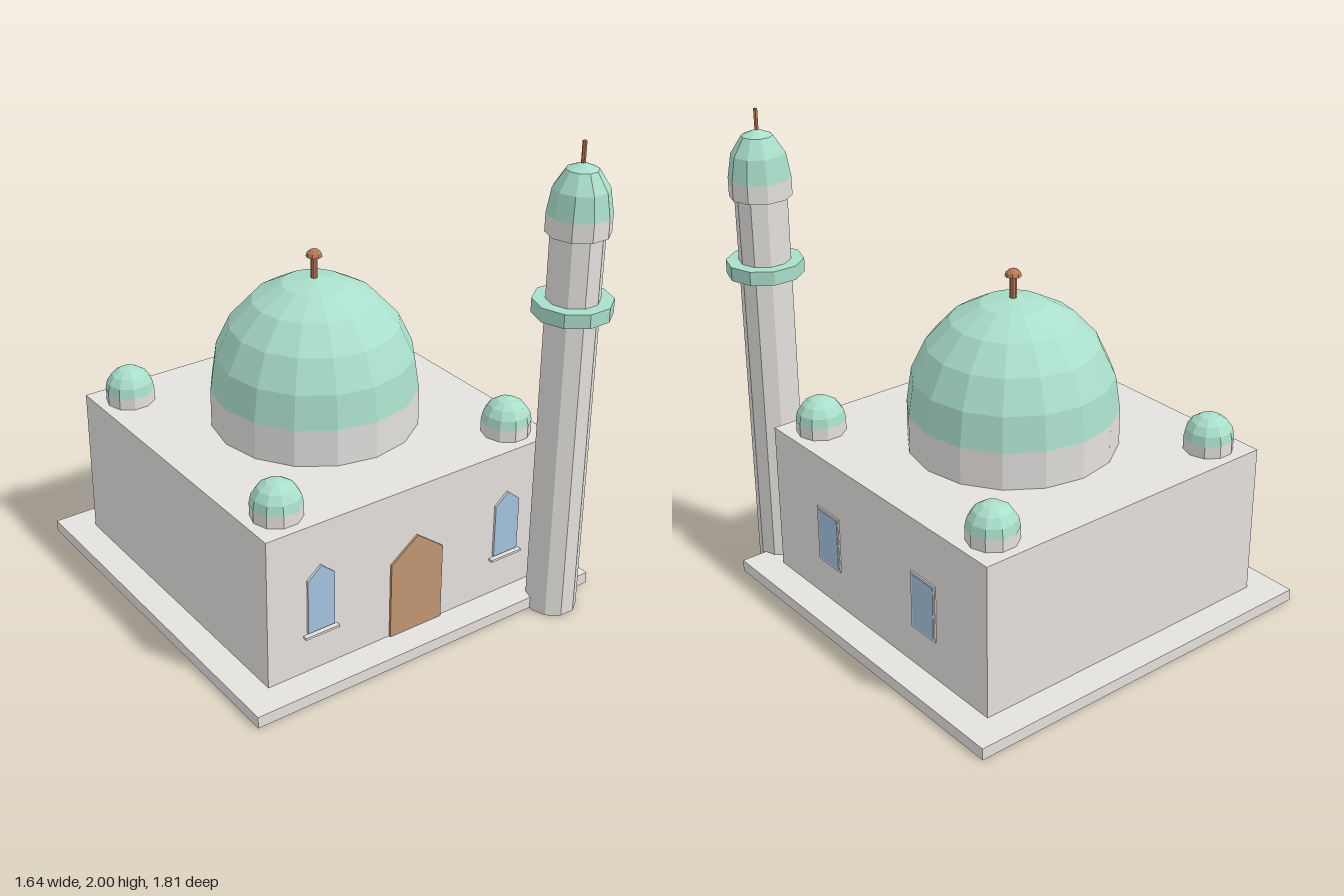
import * as THREE from 'three';

const flat = (name, color) => new THREE.MeshStandardMaterial({ name, color, flatShading: true, side: THREE.DoubleSide });

export function createModel() {
  const model = new THREE.Group();
  model.name = 'domedBuilding';

  const stone = flat('stone', 0xe4e1de);
  const green = flat('paleGreen', 0xaadecb);
  const wood = flat('wood', 0xc29672);
  const glass = flat('blueGlass', 0xa3c3de);
  const copper = flat('copper', 0xb87b57);

  const add = (parent, name, geometry, material, x, y, z) => {
    const mesh = new THREE.Mesh(geometry, material);
    mesh.name = name;
    mesh.position.set(x, y, z);
    parent.add(mesh);
    return mesh;
  };
  const group = (name, x, z) => {
    const g = new THREE.Group();
    g.name = name;
    g.position.set(x, 0, z);
    model.add(g);
    return g;
  };
  // Square shell: four walls and a flat top, open underneath
  const shell = (name, width, y0, y1, z) => {
    const g = group(name, 0, z);
    const r = width / Math.SQRT2;
    add(g, name + 'Walls', new THREE.CylinderGeometry(r, r, y1 - y0, 4, 1, true).rotateY(Math.PI / 4),
      stone, 0, (y0 + y1) / 2, 0);
    add(g, name + 'Top', new THREE.PlaneGeometry(width, width).rotateX(-Math.PI / 2), stone, 0, y1, 0);
  };
  // Faceted drum with a corner on the x axis
  const drum = (parent, name, material, r, sides, y0, y1) =>
    add(parent, name, new THREE.CylinderGeometry(r, r, y1 - y0, sides).rotateY(Math.PI / 2),
      material, 0, (y0 + y1) / 2, 0);
  // Faceted half dome, closed underneath
  const dome = (parent, name, material, r, height, sides, rings, y) => {
    const profile = [new THREE.Vector2(0, 0)];
    for (let i = 0; i <= rings; i++) {
      const a = (i / rings) * Math.PI / 2;
      profile.push(new THREE.Vector2(i === rings ? 0 : r * Math.cos(a), height * Math.sin(a)));
    }
    return add(parent, name, new THREE.LatheGeometry(profile, sides, Math.PI / 2), material, 0, y, 0);
  };
  // Upright plate facing +z, pointed when peak is above the shoulder
  const plate = (w, y0, shoulder, peak, depth) => {
    const s = new THREE.Shape();
    s.moveTo(-w / 2, y0);
    s.lineTo(w / 2, y0);
    s.lineTo(w / 2, shoulder);
    if (peak > shoulder) s.lineTo(0, peak);
    s.lineTo(-w / 2, shoulder);
    s.closePath();
    return new THREE.ExtrudeGeometry(s, { depth, bevelEnabled: false });
  };

  const cz = -0.081; // centre of the hall
  const half = 0.696; // half its width
  const front = cz + half;

  // Hollow plinth and hall
  shell('plinth', 1.643, 0, 0.05, -0.0835);
  shell('hall', half * 2, 0.05, 0.698, cz);

  // Main dome with its finial
  const main = group('mainDome', 0, cz);
  drum(main, 'mainDrum', stone, 0.431, 16, 0.698, 0.855);
  dome(main, 'mainCupola', green, 0.431, 0.465, 16, 5, 0.855);
  drum(main, 'finialStem', copper, 0.014, 8, 1.3, 1.415);
  dome(main, 'finialCap', copper, 0.034, 0.031, 8, 3, 1.408);

  // Four corner domes
  for (const sx of [-1, 1]) {
    for (const sz of [-1, 1]) {
      const corner = group('cornerDome', sx * 0.557, cz + sz * 0.557);
      drum(corner, 'cornerDrum', stone, 0.102, 10, 0.698, 0.75);
      dome(corner, 'cornerCupola', green, 0.103, 0.1, 10, 4, 0.75);
    }
  }

  // Minaret
  const minaret = group('minaret', 0.607, 0.754);
  drum(minaret, 'shaft', stone, 0.105, 10, 0, 1.65);
  drum(minaret, 'balcony', green, 0.157, 10, 1.321, 1.379);
  drum(minaret, 'lantern', stone, 0.125, 10, 1.648, 1.723);
  dome(minaret, 'minaretCupola', green, 0.125, 0.197, 10, 3, 1.723);
  drum(minaret, 'spike', copper, 0.009, 6, 1.9, 2);

  // Front door
  add(model, 'door', plate(0.252, 0.05, 0.385, 0.48, 0.0095), wood, 0, 0, front);

  // Pointed front windows, stone at the edges, with sills
  for (const s of [-1, 1]) {
    add(model, 'frontWindow', plate(0.122, 0.23, 0.465, 0.517, 0.0095), [glass, stone], s * 0.457, 0, front);
    add(model, 'windowSill', new THREE.BoxGeometry(0.155, 0.01, 0.02), stone, s * 0.457, 0.217, front + 0.01);
  }

  // Square-headed windows in low stone surrounds on the left wall
  for (const s of [-1, 1]) {
    const win = group('sideWindow', half, cz + s * 0.317);
    win.rotation.y = Math.PI / 2;
    add(win, 'surround', plate(0.15, 0.22, 0.467, 0, 0.006), stone, 0, 0, 0);
    add(win, 'pane', plate(0.13, 0.23, 0.457, 0, 0.008), glass, 0, 0, 0);
  }

  return model;
}
